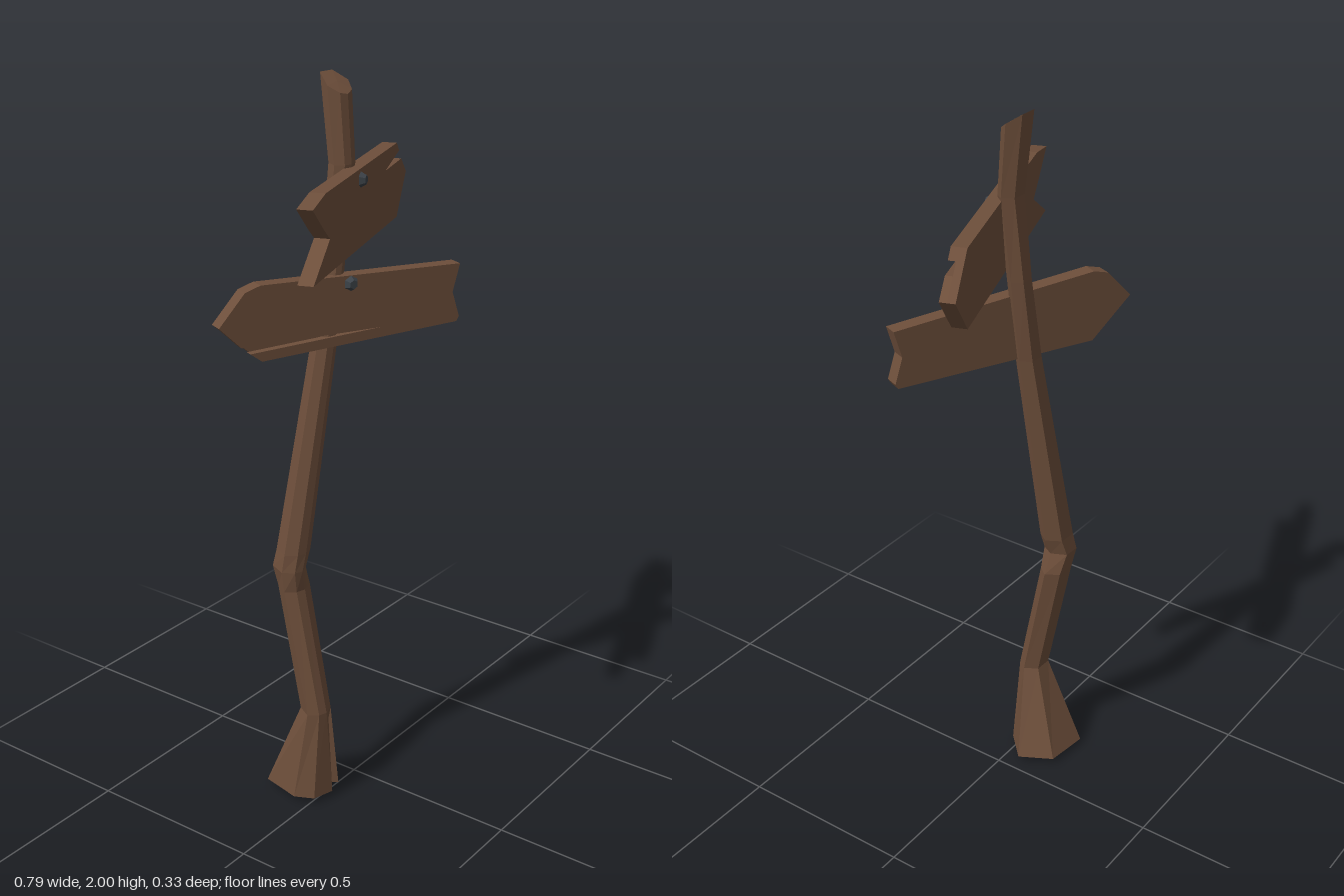
import * as THREE from 'three';

const wood = new THREE.MeshStandardMaterial({ color: 0x6e4f3b, flatShading: true });
const iron = new THREE.MeshStandardMaterial({ color: 0x3c4248, flatShading: true });

// Eight-sided cross-section, stretched to each [y, xMin, xMax, zMin, zMax]
const SECTION = [[-1, 0.1], [-0.6, 0.8], [-0.1, 1], [0.15, 0.9], [0.55, 0.75], [1, 0], [0.55, -0.95], [-0.5, -1]];
const ring = ([y, x0, x1, z0, z1]) => SECTION.map(([u, v]) =>
  [(x0 + x1) / 2 + u * (x1 - x0) / 2, y, (z0 + z1) / 2 + v * (z1 - z0) / 2]);

function loft(rings, bottom, top) {
  const n = rings[0].length, pos = [];
  const tri = (...pts) => pts.forEach((p) => pos.push(...p));
  for (let i = 0; i < rings.length - 1; i++) {
    for (let j = 0; j < n; j++) {
      const k = (j + 1) % n;
      const a = rings[i][j], b = rings[i][k], c = rings[i + 1][k], d = rings[i + 1][j];
      tri(a, b, c);
      tri(a, c, d);
    }
  }
  const last = rings[rings.length - 1];
  for (let j = 0; j < n; j++) {
    const k = (j + 1) % n;
    tri(bottom, rings[0][k], rings[0][j]);
    tri(top, last[j], last[k]);
  }
  const g = new THREE.BufferGeometry();
  g.setAttribute('position', new THREE.Float32BufferAttribute(pos, 3));
  g.computeVertexNormals();
  return g;
}

function createPost() {
  // Splayed foot with a split between two roots
  const foot = [[-0.23, -0.04], [-0.205, 0.012], [-0.145, 0.03], [-0.135, -0.035],
    [-0.1, 0.018], [-0.03, -0.05], [-0.08, -0.14], [-0.205, -0.155]].map(([x, z]) => [x, 0.018, z]);
  // Crooked trunk with a notched knee
  const trunk = [
    [0.28, -0.205, -0.11, -0.05, 0.025],
    [0.64, -0.21, -0.105, -0.12, -0.045],
    [0.70, -0.215, -0.128, -0.13, -0.042],
    [0.75, -0.21, -0.11, -0.122, -0.038],
    [1.32, -0.115, -0.04, -0.068, -0.005],
    [1.55, -0.075, -0.01, -0.06, 0],
    [1.78, -0.06, 0.02, -0.05, 0.01],
  ].map(ring);
  // Slanted cut at the top
  const tip = ring([1.97, -0.055, 0.035, -0.08, -0.008]);
  tip.forEach((p) => { p[1] = 1.95 - (p[2] + 0.008) * 0.69; });
  const post = new THREE.Mesh(loft([foot, ...trunk, tip], [-0.13, 0, -0.07], [-0.01, 1.978, -0.045]), wood);
  post.name = 'post';
  return post;
}

// Board of two layers, so that cracks cut only the front one
function createBoard(name, { x, z, angle, front, back, bolt }) {
  const board = new THREE.Group();
  board.name = name;
  board.position.set(x, 0, z);
  board.rotation.y = angle;
  const local = ([px, py]) => new THREE.Vector2((px - x) / Math.cos(angle), py);
  [[front, 0, 'Front'], [back, -0.02, 'Back']].forEach(([outline, depth, side]) => {
    const g = new THREE.ExtrudeGeometry(new THREE.Shape(outline.map(local)), { depth: 0.02, bevelEnabled: false });
    const layer = new THREE.Mesh(g.translate(0, 0, depth), wood);
    layer.name = name + side;
    board.add(layer);
  });
  const head = new THREE.Mesh(new THREE.CylinderGeometry(0.012, 0.021, 0.016, 6).rotateX(Math.PI / 2), iron);
  const p = local(bolt);
  head.position.set(p.x, p.y, 0.027);
  head.name = name + 'Bolt';
  board.add(head);
  return board;
}

export function createModel() {
  const model = new THREE.Group();
  model.name = 'signpost';
  model.add(createPost());

  // Upper board: forked at -x, pointed at +x
  const fork = [[0.3, 1.565], [-0.393, 1.58], [-0.27, 1.66], [-0.31, 1.69], [-0.393, 1.76], [-0.3, 1.777], [0.295, 1.767]];
  model.add(createBoard('upperBoard', {
    x: 0, z: 0.007, angle: 0.345, bolt: [-0.027, 1.745],
    back: [[0.387, 1.67], ...fork],
    front: [[0.387, 1.67], ...fork, [0.318, 1.742], [0.19, 1.716], [0.34, 1.715]],
  }));

  // Lower board: pointed at -x, forked at +x
  const tail = [[-0.27, 1.315], [0.263, 1.327], [0.27, 1.34], [0.25, 1.41], [0.27, 1.485], [-0.27, 1.513], [-0.31, 1.5], [-0.377, 1.42]];
  model.add(createBoard('lowerBoard', {
    x: -0.053, z: -0.005, angle: -0.41, bolt: [-0.034, 1.48],
    back: tail,
    front: [...tail, [-0.322, 1.36], [0.05, 1.349], [-0.3, 1.34]],
  }));
  return model;
}
